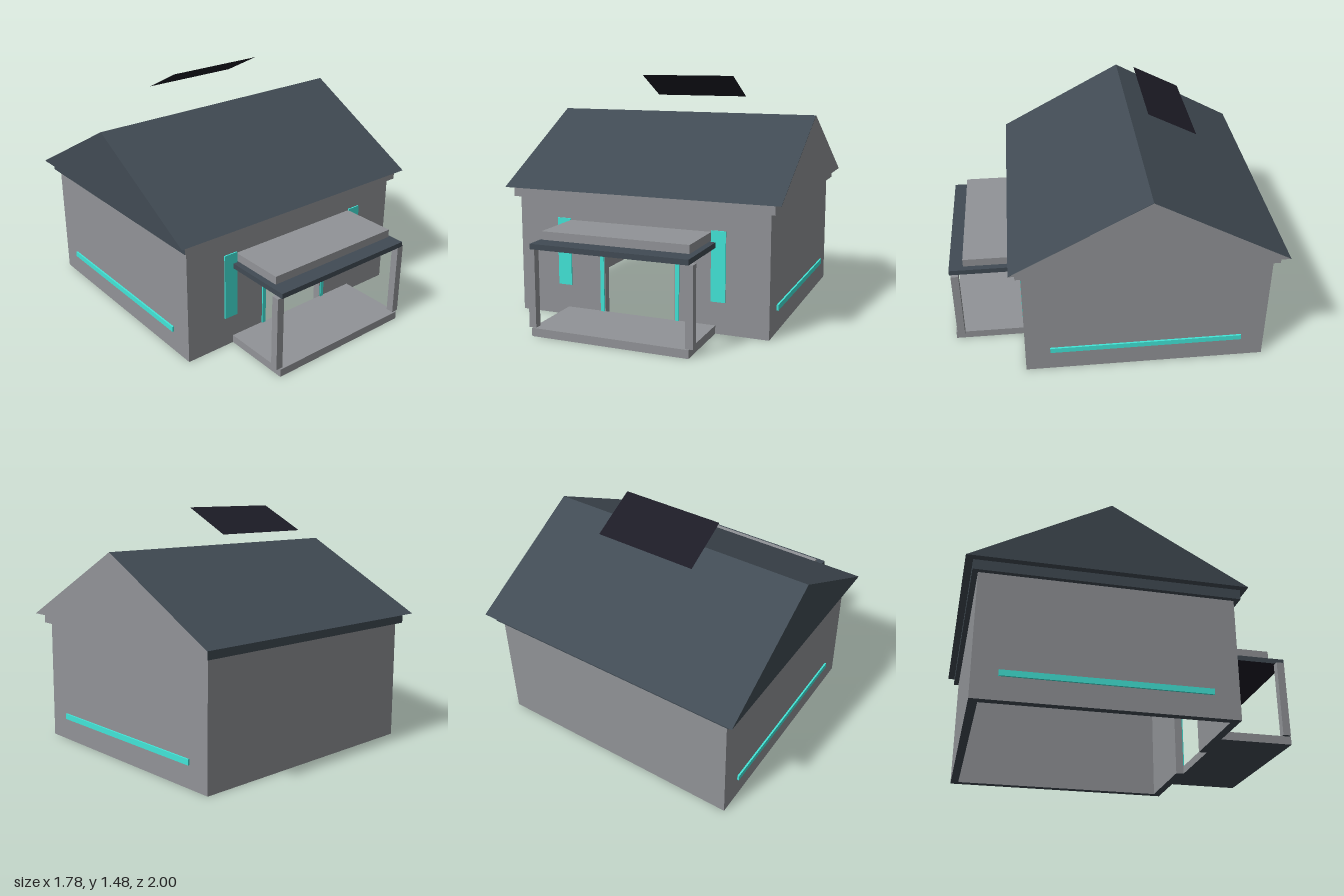
import * as THREE from 'three';

const mat = (name, color, side = THREE.FrontSide) => {
  const m = new THREE.MeshStandardMaterial({ color, side });
  m.name = name;
  return m;
};

export function createModel() {
  const grey = mat('wall grey', 0x919397);
  const slate = mat('roof slate', 0x414b54);
  const teal = mat('trim teal', 0x42e6d8);
  const dark = mat('panel dark', 0x1d1c26, THREE.DoubleSide);
  // Face order of a box: +x, -x, +y, -y, +z, -z
  const greyOverSlate = [grey, grey, grey, slate, grey, grey];
  const group = new THREE.Group();

  const add = (name, geometry, material) => {
    const mesh = new THREE.Mesh(geometry, material);
    mesh.name = name;
    group.add(mesh);
    return mesh;
  };
  // Box given by its lower and upper limits on each axis
  const box = (name, material, [x0, x1], [y0, y1], [z0, z1]) => {
    const mesh = add(name, new THREE.BoxGeometry(x1 - x0, y1 - y0, z1 - z0), material);
    mesh.position.set((x0 + x1) / 2, (y0 + y1) / 2, (z0 + z1) / 2);
  };
  const polygon = (points) => new THREE.Shape(points.map(([x, y]) => new THREE.Vector2(x, y)));
  const extrude = (shape, depth) => new THREE.ExtrudeGeometry(shape, { depth, bevelEnabled: false });

  // Hollow walls without a floor; the front has a doorway
  const t = 0.05, W = 0.815, H = 0.74, back = -0.923, front = 0.56;
  const doorW = 0.23, doorH = 0.49;
  box('backWall', greyOverSlate, [-W, W], [0, H], [back, back + t]);
  box('doorLintel', greyOverSlate, [-doorW, doorW], [doorH, H], [front - t, front]);

  // Eave band that also closes the room; its back and right faces match the roof
  box('eaveBand', [grey, slate, grey, slate, grey, slate], [-0.845, 0.845], [H, 0.8], [-0.955, 0.592]);

  // Gabled roof prism, extruded along x
  const roofShape = polygon([[-0.628, 0.8], [0.998, 0.8], [0.185, 1.242]]);
  const roof = add('roof', extrude(roofShape, 1.776), slate);
  roof.rotation.y = Math.PI / 2;
  roof.position.x = -0.888;
  const gable = add('leftGable', new THREE.ShapeGeometry(roofShape), grey);
  gable.rotation.y = Math.PI / 2;
  gable.position.x = 0.889;

  // Thin panel floating parallel to the back slope
  const rise = 0.148, run = 0.29;
  const panel = add('roofPanel', new THREE.PlaneGeometry(0.65, Math.hypot(rise, run)), dark);
  panel.rotation.x = -Math.PI / 2 - Math.atan2(rise, run);
  panel.position.set(0, 1.406, -0.375);

  // Porch, with a dark soffit under its roof
  box('porchFloor', greyOverSlate, [-0.488, 0.488], [0, 0.05], [front, 1]);
  box('porchRoof', [slate, slate, slate, dark, slate, slate], [-0.488, 0.488], [0.52, 0.552], [front, 1]);
  box('porchRoofBlock', greyOverSlate, [-0.46, 0.46], [0.56, 0.61], [front, 0.912]);

  // Teal doorway frame
  const frame = polygon([
    [-0.26, 0.05], [-0.235, 0.05], [-0.235, 0.495], [0.235, 0.495],
    [0.235, 0.05], [0.26, 0.05], [0.26, 0.522], [-0.26, 0.522],
  ]);
  add('doorFrame', extrude(frame, 0.008), teal).position.z = front;

  // Mirrored walls, posts, front strips and side strips
  for (const s of [-1, 1]) {
    const span = (a, b) => (s > 0 ? [a, b] : [-b, -a]);
    box('sideWall', greyOverSlate, span(W - t, W), [0, H], [back + t, front - t]);
    box('frontWall', greyOverSlate, span(doorW, W), [0, H], [front - t, front]);
    box('porchPost', greyOverSlate, span(0.465, 0.51), [0.05, 0.52], [0.943, 0.99]);
    box('frontStrip', teal, span(0.46, 0.55), [0.195, 0.62], [front, front + 0.008]);
    box('sideStrip', teal, span(W, 0.826), [0.135, 0.169], [-0.778, 0.408]);
  }
  return group;
}
